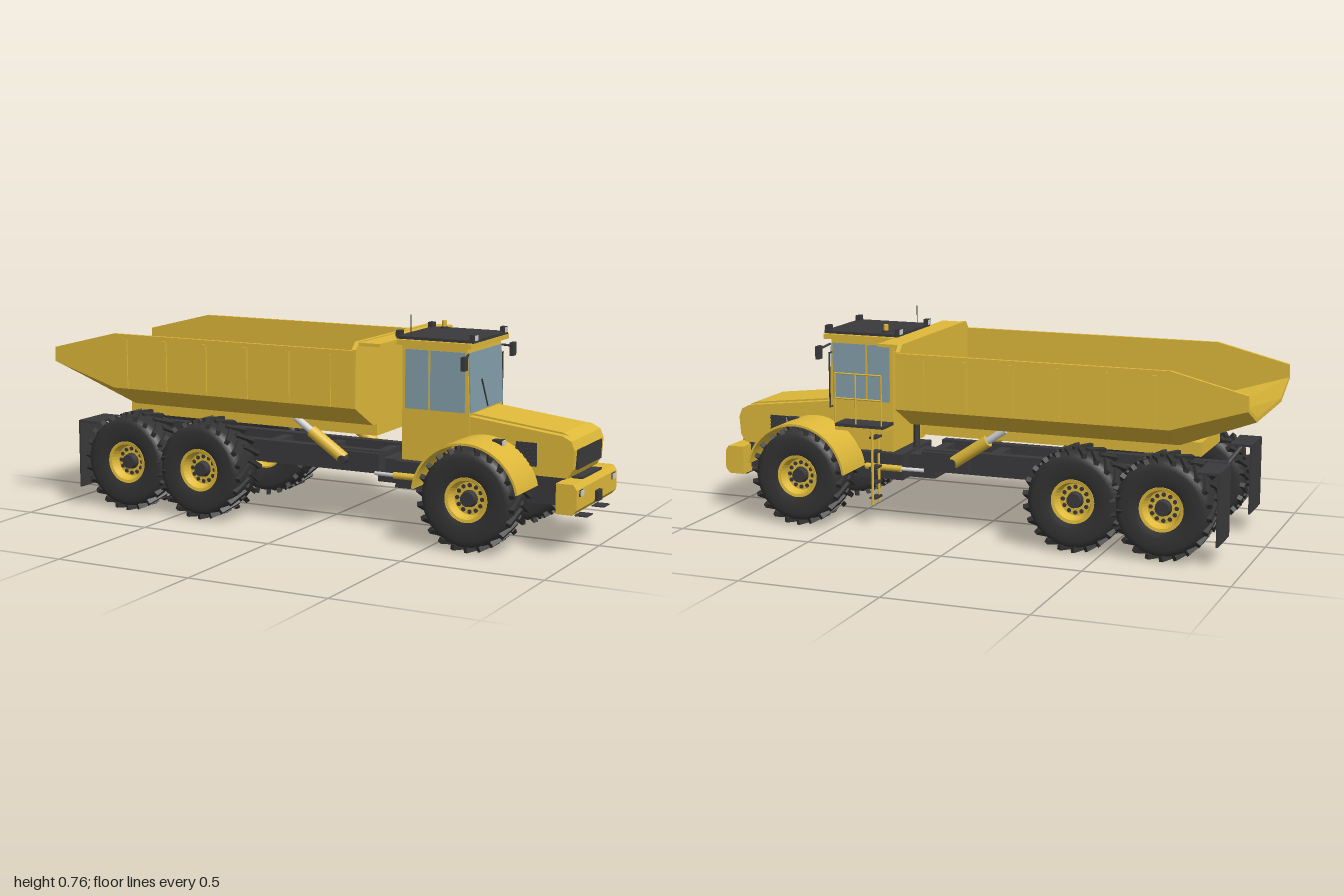
import * as THREE from 'three';

const mat = (name, color, side = THREE.FrontSide) => {
  const m = new THREE.MeshStandardMaterial({ color, side });
  m.name = name;
  return m;
};

export function createModel() {
  const truck = new THREE.Group();
  truck.name = 'dumpTruck';
  const yellow = mat('yellowPaint', 0xdfb93a);
  const dark = mat('darkMetal', 0x3a3a3c);
  const rubber = mat('tyreRubber', 0x333334);
  const glass = mat('windowGlass', 0x84a0ac);
  const silver = mat('silverSteel', 0xd0d0d0);

  // Helpers
  const add = (name, geo, m, parent = truck) => {
    const mesh = new THREE.Mesh(geo, m);
    mesh.name = name;
    parent.add(mesh);
    return mesh;
  };
  const box = (name, m, x0, x1, y0, y1, z0, z1, parent) => {
    const mesh = add(name, new THREE.BoxGeometry(x1 - x0, y1 - y0, Math.abs(z1 - z0)), m, parent);
    mesh.position.set((x0 + x1) / 2, (y0 + y1) / 2, (z0 + z1) / 2);
    return mesh;
  };
  const rod = (name, m, a, b, r, sides = 12) => {
    const p = new THREE.Vector3(...a), d = new THREE.Vector3(...b).sub(p);
    const mesh = add(name, new THREE.CylinderGeometry(r, r, d.length(), sides), m);
    mesh.position.copy(p).addScaledVector(d, 0.5);
    mesh.quaternion.setFromUnitVectors(new THREE.Vector3(0, 1, 0), d.normalize());
    return mesh;
  };
  const shapeOf = pts => new THREE.Shape(pts.map(p => new THREE.Vector2(...p)));
  const slab = (name, m, pts, z0, z1) => {
    const geo = new THREE.ExtrudeGeometry(shapeOf(pts), { depth: z1 - z0, bevelEnabled: false, curveSegments: 24 });
    return add(name, geo.translate(0, 0, z0), m);
  };

  // Dump body: a thick trough lofted through three cross-sections
  const section = ([x, top, knee, low]) => {
    const outer = [[0.325, top], [0.325, knee], [0.19, low], [-0.19, low], [-0.325, knee], [-0.325, top]];
    const inner = [[-0.311, top], [-0.311, knee + 0.006], [-0.184, low + 0.014], [0.184, low + 0.014], [0.311, knee + 0.006], [0.311, top]];
    return [...outer, ...inner].map(([z, y]) => [x, y, z]);
  };
  const secs = [[0.235, 0.652, 0.455, 0.378], [-0.74, 0.652, 0.455, 0.378], [-1, 0.587, 0.535, 0.475]].map(section);
  const pos = [];
  const quad = (a, b, c, d) => pos.push(...a, ...b, ...c, ...a, ...c, ...d);
  for (let i = 0; i < 2; i++) for (let j = 0; j < 12; j++) {
    const k = (j + 1) % 12;
    quad(secs[i][j], secs[i + 1][j], secs[i + 1][k], secs[i][k]);
  }
  for (let j = 0; j < 5; j++) quad(secs[2][j], secs[2][11 - j], secs[2][10 - j], secs[2][j + 1]);
  const bed = new THREE.BufferGeometry();
  bed.setAttribute('position', new THREE.Float32BufferAttribute(pos, 3));
  bed.computeVertexNormals();
  add('dumpBody', bed, yellow);
  const board = new THREE.ExtrudeGeometry(
    shapeOf([[0.32, 0.655], [0.295, 0.68], [-0.295, 0.68], [-0.32, 0.655], [-0.325, 0.455], [-0.19, 0.378], [0.19, 0.378], [0.325, 0.455]]),
    { depth: 0.016, bevelEnabled: false });
  add('headboard', board.rotateY(-Math.PI / 2).translate(0.241, 0, 0), yellow);
  box('spillGuard', yellow, 0.235, 0.318, 0.666, 0.677, -0.295, 0.295);
  for (const x of [-0.687, -0.52, -0.353, -0.187, -0.02, 0.14]) for (const s of [-1, 1])
    box('bodyRib', yellow, x - 0.008, x + 0.008, 0.457, 0.636, s * 0.324, s * 0.331);
  box('bodySubframe', yellow, -0.8, 0.225, 0.33, 0.379, -0.13, 0.13);

  // Rear chassis and articulation
  for (const s of [-1, 1]) box('chassisRail', dark, -0.84, 0.23, 0.19, 0.27, s * 0.07, s * 0.105);
  for (const x of [-0.82, -0.56, -0.24, -0.02, 0.2]) box('crossMember', dark, x - 0.02, x + 0.02, 0.2, 0.26, -0.08, 0.08);
  box('articulationJoint', dark, 0.2, 0.34, 0.155, 0.24, -0.07, 0.07);
  box('frontFrame', dark, 0.3, 0.92, 0.155, 0.25, -0.135, 0.135);
  for (const s of [-1, 1]) {
    const z = s * 0.135;
    box('toolBox', dark, 0.05, 0.23, 0.2, 0.265, s * 0.1, s * 0.125);
    rod('hoistBarrel', yellow, [0.1, 0.238, z], [-0.03, 0.326, z], 0.022, 16);
    rod('hoistRod', silver, [-0.03, 0.326, z], [-0.095, 0.37, z], 0.013);
    box('hoistMount', dark, -0.124, -0.097, 0.35, 0.398, s * 0.095, s * 0.128);
    rod('hoistPin', dark, [0.1, 0.238, s * 0.1], [0.1, 0.238, s * 0.16], 0.015);
    rod('steeringBarrel', yellow, [0.3, 0.2, s * 0.145], [0.44, 0.2, s * 0.145], 0.012);
    rod('steeringRod', silver, [0.22, 0.197, s * 0.13], [0.3, 0.2, s * 0.145], 0.007);
    // Rear mud flaps
    box('mudFlap', dark, -0.909, -0.902, 0.07, 0.318, s * 0.155, s * 0.315);
    box('mudFlapTop', dark, -0.909, -0.83, 0.312, 0.32, s * 0.155, s * 0.315);
    rod('mudFlapArm', dark, [-0.83, 0.25, s * 0.09], [-0.87, 0.313, s * 0.2], 0.008);
  }

  // Wheels, axle along z and outer face towards +z
  const tyreProfile = [[0.076, -0.066], [0.1, -0.074], [0.14, -0.075], [0.16, -0.068], [0.166, -0.04], [0.167, 0],
    [0.166, 0.04], [0.16, 0.068], [0.14, 0.075], [0.1, 0.074], [0.076, 0.066]].map(p => new THREE.Vector2(...p));
  const tyre = new THREE.LatheGeometry(tyreProfile, 48).rotateX(Math.PI / 2);
  const rimProfile = [[0.001, 0.034], [0.056, 0.034], [0.06, 0.05], [0.066, 0.067], [0.077, 0.069], [0.078, 0.06],
    [0.078, -0.066], [0.07, -0.066], [0.062, -0.04], [0.001, -0.04]].map(p => new THREE.Vector2(...p)).reverse();
  const rim = new THREE.LatheGeometry(rimProfile, 32).rotateX(Math.PI / 2).toNonIndexed();
  rim.computeVertexNormals();
  const lug = new THREE.BoxGeometry(0.016, 0.018, 0.085);
  const hole = new THREE.CylinderGeometry(0.0075, 0.0075, 0.006, 10).rotateX(Math.PI / 2);
  const hub = new THREE.CylinderGeometry(0.025, 0.03, 0.028, 20).rotateX(Math.PI / 2);
  const rimMat = mat('wheelYellow', 0xdfb93a, THREE.DoubleSide);
  for (const x of [-0.71, -0.4, 0.64]) {
    for (const s of [-1, 1]) {
      const wheel = new THREE.Group();
      wheel.name = 'wheel';
      wheel.position.set(x, 0.178, s * 0.233);
      if (s < 0) wheel.rotation.y = Math.PI;
      truck.add(wheel);
      add('tyre', tyre, rubber, wheel);
      add('rim', rim, rimMat, wheel);
      add('hub', hub, dark, wheel).position.z = 0.044;
      for (let i = 0; i < 12; i++) {
        const a = i * Math.PI / 6;
        add('rimHole', hole, dark, wheel).position.set(0.045 * Math.cos(a), 0.045 * Math.sin(a), 0.034);
      }
      // Chevron tread lugs, staggered on both halves
      for (let i = 0; i < 44; i++) {
        const side = i % 2 ? 1 : -1, pivot = new THREE.Group();
        pivot.name = 'treadLug';
        pivot.rotation.z = i * Math.PI / 22;
        const bar = add('lug', lug, rubber, pivot);
        bar.position.set(0, 0.167, side * 0.038);
        bar.rotation.y = side * 0.5;
        wheel.add(pivot);
      }
    }
    rod('axle', dark, [x, 0.178, -0.21], [x, 0.178, 0.21], 0.032, 16);
    add('differential', new THREE.SphereGeometry(0.052, 20, 14), dark).position.set(x, 0.178, 0);
  }

  // Front fenders: arched shells
  for (const s of [-1, 1]) {
    const arch = new THREE.Shape();
    arch.absarc(0.64, 0.178, 0.194, 0.2, Math.PI - 0.12, false);
    arch.absarc(0.64, 0.178, 0.186, Math.PI - 0.12, 0.2, true);
    const geo = new THREE.ExtrudeGeometry(arch, { depth: 0.18, bevelEnabled: false, curveSegments: 28 });
    add('frontFender', geo.translate(0, 0, s > 0 ? 0.138 : -0.318), yellow);
    box('fenderLamp', dark, 0.69, 0.725, 0.348, 0.37, s * 0.176, s * 0.204);
    box('fenderLampLens', silver, 0.725, 0.73, 0.35, 0.368, s * 0.178, s * 0.202);
  }

  // Engine hood, grille and side vents
  slab('hood', yellow, [[0.57, 0.25], [0.935, 0.25], [0.952, 0.28], [0.957, 0.345], [0.945, 0.375], [0.915, 0.39], [0.57, 0.43]], -0.14, 0.14);
  slab('hoodTopPanel', yellow, [[0.58, 0.42], [0.91, 0.385], [0.925, 0.388], [0.905, 0.397], [0.58, 0.435]], -0.11, 0.11);
  box('frontGrille', dark, 0.945, 0.96, 0.278, 0.345, -0.115, 0.115);
  for (const s of [-1, 1]) {
    box('sideVent', dark, 0.75, 0.825, 0.28, 0.36, s * 0.139, s * 0.143);
    for (let i = 0; i < 6; i++) box('ventSlat', dark, 0.75, 0.825, 0.283 + i * 0.013, 0.288 + i * 0.013, s * 0.142, s * 0.147);
  }

  // Bumper
  slab('bumper', yellow, [[0.915, 0.14], [0.972, 0.14], [0.988, 0.158], [0.988, 0.225], [0.975, 0.243], [0.915, 0.243]], -0.195, 0.195);
  box('bumperTread', dark, 0.93, 0.97, 0.24, 0.25, -0.092, 0.092);
  box('towHitch', dark, 0.98, 1, 0.156, 0.193, -0.021, 0.021);
  for (const s of [-1, 1]) {
    box('headlampFrame', dark, 0.985, 0.991, 0.2, 0.222, s * 0.142, s * 0.172);
    box('headlamp', silver, 0.99, 0.995, 0.202, 0.22, s * 0.144, s * 0.17);
    box('frontStep', dark, 0.95, 0.995, 0.119, 0.123, s * 0.055, s * 0.11);
  }

  // Cab
  slab('cab', yellow, [[0.33, 0.26], [0.58, 0.26], [0.58, 0.44], [0.57, 0.665], [0.33, 0.665]], -0.145, 0.145);
  box('roofEdge', yellow, 0.315, 0.592, 0.66, 0.678, -0.165, 0.165);
  box('roofCover', dark, 0.308, 0.595, 0.678, 0.688, -0.148, 0.148);
  box('windshield', glass, 0.575, 0.58, 0.44, 0.643, -0.139, 0.139).rotation.z = 0.044;
  box('rearWindow', glass, 0.326, 0.331, 0.45, 0.643, -0.12, 0.12);
  rod('wiper', dark, [0.585, 0.445, -0.002], [0.582, 0.545, 0.045], 0.003, 6);
  for (const s of [-1, 1]) {
    box('sideWindow', glass, 0.342, 0.428, 0.44, 0.645, s * 0.144, s * 0.148);
    box('doorWindow', glass, 0.436, 0.565, 0.44, 0.645, s * 0.144, s * 0.148);
    rod('mirrorArm', dark, [0.575, 0.64, s * 0.145], [0.59, 0.628, s * 0.21], 0.004, 6);
    box('mirror', dark, 0.582, 0.596, 0.594, 0.641, s * 0.195, s * 0.225);
    for (const x of [0.312, 0.587]) {
      box('workLamp', dark, x - 0.009, x + 0.009, 0.684, 0.706, s * 0.115, s * 0.144);
      const f = x > 0.5 ? 0.009 : -0.011;
      box('workLampLens', silver, x + f, x + f + 0.002, 0.686, 0.704, s * 0.117, s * 0.142);
    }
  }
  rod('beaconBase', dark, [0.37, 0.685, -0.11], [0.37, 0.695, -0.11], 0.012);
  rod('beacon', yellow, [0.37, 0.695, -0.11], [0.37, 0.716, -0.11], 0.009);
  rod('antenna', dark, [0.34, 0.68, 0.102], [0.34, 0.757, 0.102], 0.0015, 6);
  rod('exhaustStack', dark, [0.302, 0.24, 0], [0.302, 0.575, 0], 0.012);

  // Access platform, rails and ladder on the right-hand side of the cab
  box('platform', dark, 0.33, 0.52, 0.358, 0.369, -0.232, -0.145);
  box('platformEdge', yellow, 0.33, 0.52, 0.345, 0.358, -0.232, -0.145);
  for (const x of [0.34, 0.44, 0.52]) rod('railPost', yellow, [x, 0.36, -0.226], [x, 0.55, -0.226], 0.003, 8);
  for (const y of [0.46, 0.55]) rod('railBar', yellow, [0.34, y, -0.226], [0.52, y, -0.226], 0.003, 8);
  rod('grabHandle', dark, [0.57, 0.41, -0.165], [0.57, 0.612, -0.165], 0.003, 8);
  for (const y of [0.412, 0.61]) rod('grabBracket', dark, [0.57, y, -0.145], [0.57, y, -0.167], 0.003, 8);
  for (const z of [-0.23, -0.175]) rod('ladderRail', yellow, [0.375, 0.08, z], [0.375, 0.35, z], 0.005, 8);
  for (let i = 0; i < 5; i++) box('ladderStep', dark, 0.362, 0.388, 0.1 + i * 0.055, 0.107 + i * 0.055, -0.23, -0.175);

  return truck;
}
